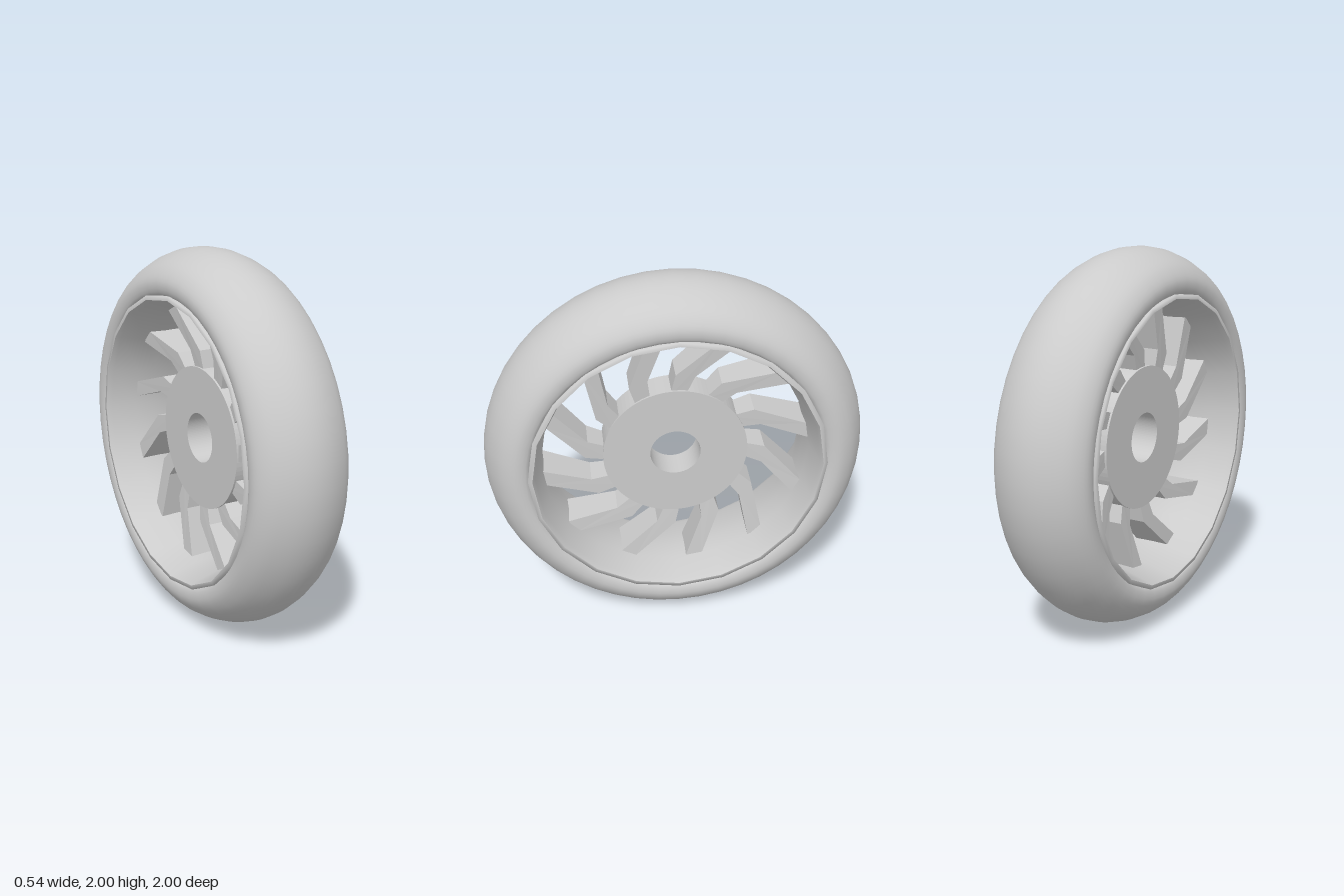
import * as THREE from 'three';

export function createModel() {
  const model = new THREE.Group();
  const grey = new THREE.MeshStandardMaterial({ color: 0xcccccc, side: THREE.DoubleSide });

  function add(name, geometry) {
    const mesh = new THREE.Mesh(geometry, grey);
    mesh.name = name;
    model.add(mesh);
    return mesh;
  }

  // Turns half a section, given as [axial, radius] from the side to the middle, about the x axis
  function revolve(half, segments, smooth) {
    let pts = half.map(([a, r]) => new THREE.Vector2(r, -a));
    pts = pts.concat(pts.slice(0, -1).reverse().map(p => new THREE.Vector2(p.x, -p.y)));
    if (smooth) pts = new THREE.SplineCurve(pts).getPoints(32);
    return new THREE.LatheGeometry(pts, segments).rotateZ(-Math.PI / 2);
  }

  // Tyre with a rounded tread
  add('tyre', revolve([[0.235, 0.765], [0.26, 0.785], [0.267, 0.835], [0.245, 0.885],
    [0.195, 0.935], [0.1, 0.983], [0, 1]], 48, true));

  // Rim: a thin lip on either side and a barrel narrowing to the middle
  add('rimLip', revolve([[0.265, 0.755], [0.262, 0.777], [0.23, 0.78], [0, 0.78]], 20, false));
  add('rimBarrel', revolve([[0.265, 0.755], [0.235, 0.742], [0.1, 0.708], [0, 0.703]], 20, false));

  // Hub disc with an axle hole
  const disc = new THREE.Shape().absarc(0, 0, 0.382, 0, Math.PI * 2);
  disc.holes.push(new THREE.Path().absarc(0, 0, 0.133, 0, Math.PI * 2, true));
  const hub = new THREE.ExtrudeGeometry(disc, { depth: 0.16, bevelEnabled: false, curveSegments: 48 });
  add('hub', hub.translate(0, 0, -0.08).rotateY(Math.PI / 2));

  // Bent spokes, growing wider along the axle towards the rim
  const outline = [[-0.03, 0.34], [0.05, 0.34], [0.1, 0.46], [0.34, 0.668], [0.225, 0.675], [0, 0.475]];
  const shape = new THREE.Shape(outline.map(([x, y]) => new THREE.Vector2(x, y)));
  const spoke = new THREE.ExtrudeGeometry(shape, { depth: 2, bevelEnabled: false }).translate(0, 0, -1);
  const pos = spoke.attributes.position;
  for (let i = 0; i < pos.count; i++) {
    const t = (Math.hypot(pos.getX(i), pos.getY(i)) - 0.34) / 0.38;
    pos.setZ(i, pos.getZ(i) * (0.065 + 0.035 * t));
  }
  spoke.rotateY(Math.PI / 2);
  spoke.computeVertexNormals();
  const count = 12;
  for (let i = 0; i < count; i++) {
    add('spoke' + (i + 1), spoke).rotation.x = (i / count) * Math.PI * 2;
  }

  model.children.forEach(mesh => { mesh.position.y = 1; });
  return model;
}
